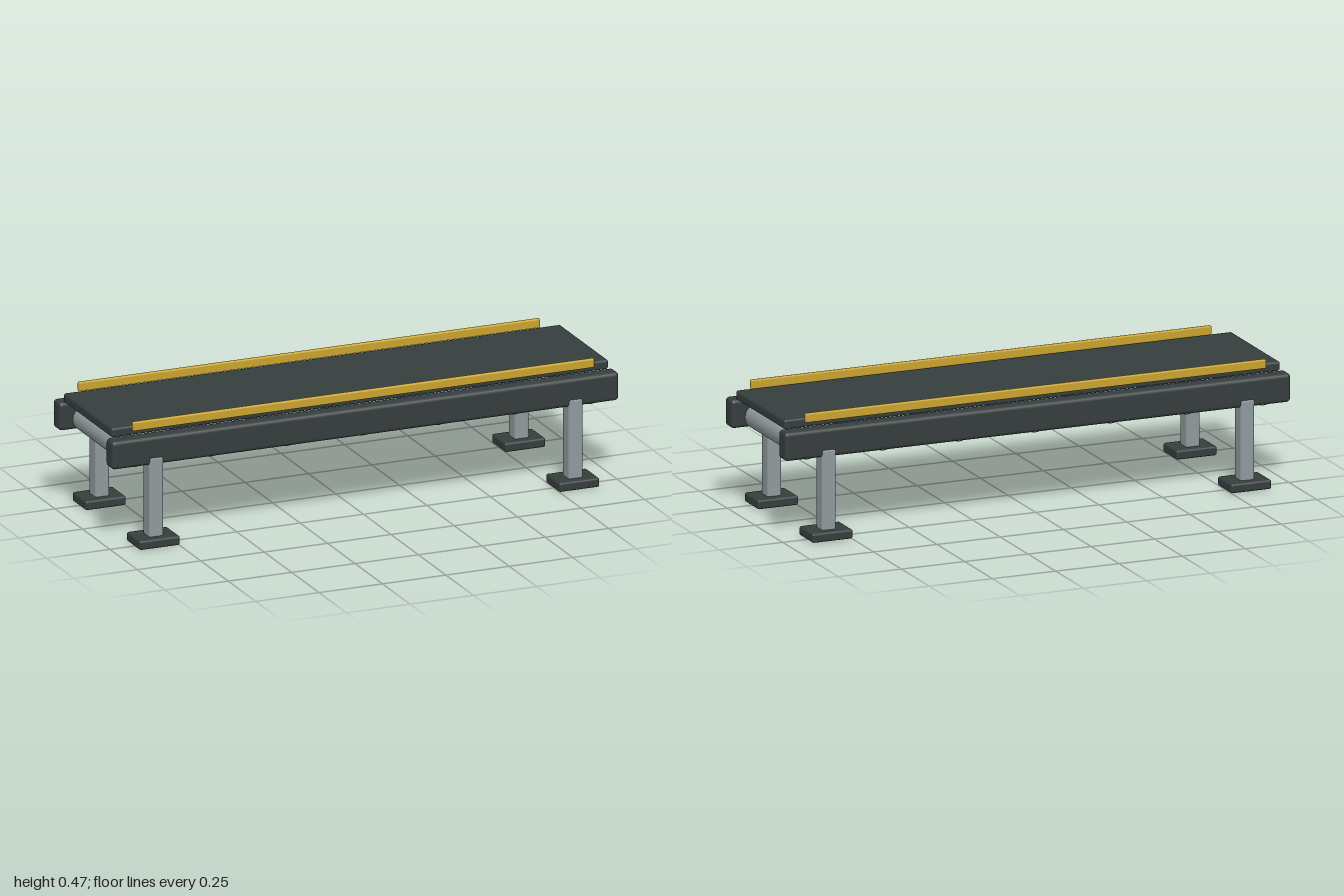
import * as THREE from 'three';
import { RoundedBoxGeometry } from 'three/addons/geometries/RoundedBoxGeometry.js';

export function createModel() {
  const model = new THREE.Group();
  model.name = 'rollerConveyor';

  const material = (name, color) => {
    const m = new THREE.MeshStandardMaterial({ color });
    m.name = name;
    return m;
  };
  const dark = material('darkRubber', 0x363d3d);
  const steel = material('greySteel', 0x8f999c);
  const yellow = material('safetyYellow', 0xcaa42e);

  const add = (name, geometry, mat, x, y, z) => {
    const mesh = new THREE.Mesh(geometry, mat);
    mesh.name = name;
    mesh.position.set(x, y, z);
    model.add(mesh);
    return mesh;
  };
  const box = (w, h, d, r) => new RoundedBoxGeometry(w, h, d, 3, r);

  // Flat belt on top
  add('belt', box(1.96, 0.036, 0.44, 0.009), dark, 0, 0.431, 0);

  // Side rails, floating guide strips, legs and feet, mirrored front to back
  const railGeo = box(2, 0.108, 0.064, 0.015);
  const guideGeo = box(1.82, 0.034, 0.017, 0.005);
  const legGeo = box(0.056, 0.315, 0.06, 0.009);
  const footGeo = box(0.16, 0.035, 0.124, 0.008);
  for (const side of [1, -1]) {
    const end = side > 0 ? 'front' : 'back';
    add(`${end}Rail`, railGeo, dark, 0, 0.361, side * 0.241);
    add(`${end}Guide`, guideGeo, yellow, 0, 0.456, side * 0.246);
    for (const x of [-0.827, 0.827]) {
      const hand = x > 0 ? 'Left' : 'Right';
      add(`${end}${hand}Leg`, legGeo, steel, x, 0.179, side * 0.246);
      add(`${end}${hand}Foot`, footGeo, dark, x, 0.0175, side * 0.246);
    }
  }

  // Row of rollers under the belt
  const rollerGeo = new THREE.CylinderGeometry(0.047, 0.047, 0.49, 32);
  rollerGeo.rotateX(Math.PI / 2);
  for (let i = -3; i <= 3; i++) {
    add(`roller${i + 4}`, rollerGeo, steel, i * 0.3, 0.346, 0);
  }

  return model;
}
